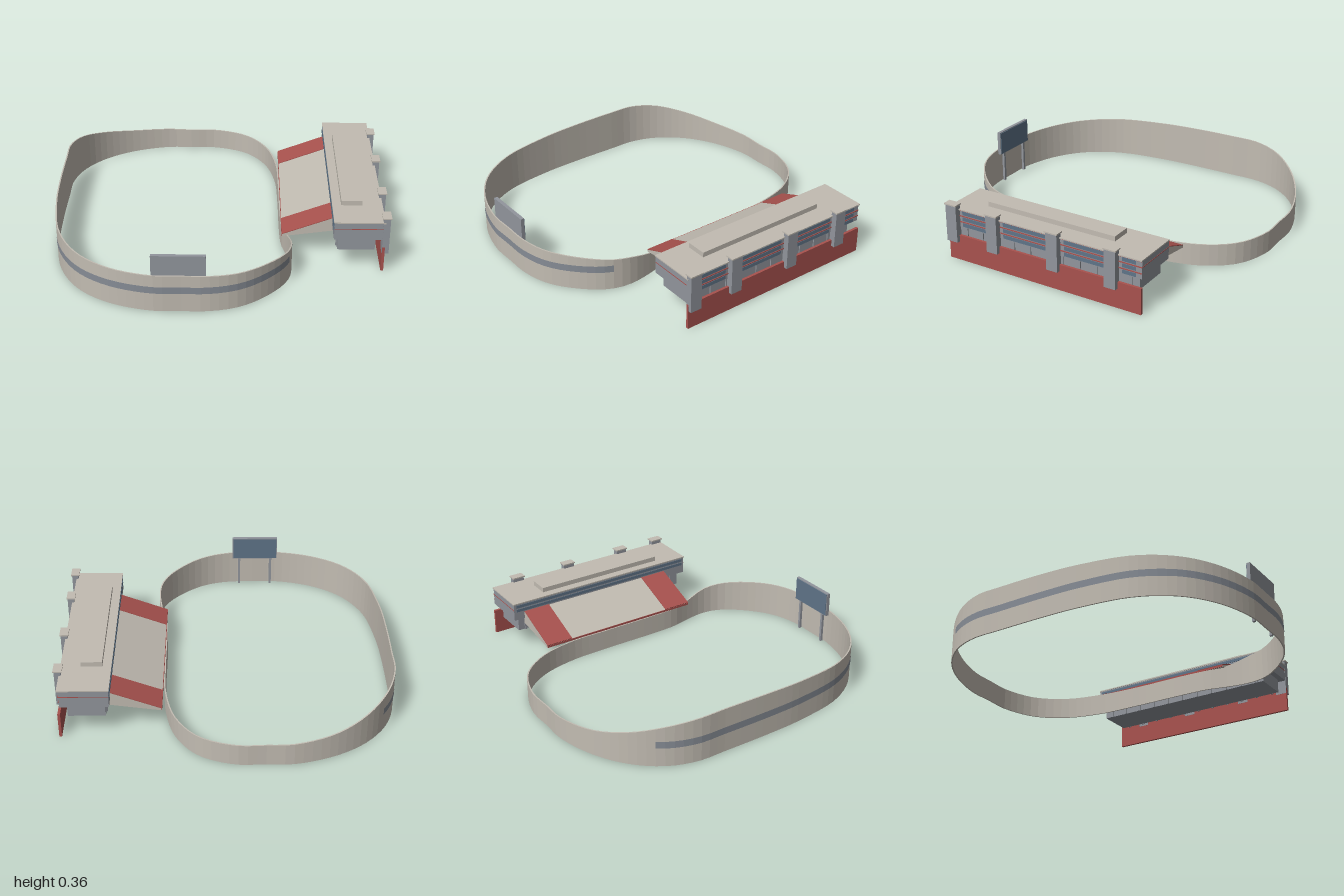
import * as THREE from 'three';

const mat = (name, color, side = THREE.FrontSide) => {
  const m = new THREE.MeshStandardMaterial({ color, side });
  m.name = name;
  return m;
};

export function createModel() {
  const model = new THREE.Group();
  model.name = 'stadium';
  const concrete = mat('concrete', 0xc2bcb2);
  const grey = mat('grey', 0x92969d);
  const stripe = mat('stripe grey', 0x868c95);
  const red = mat('red', 0xa8524e);
  const glass = mat('glass blue', 0x5f7488);

  const add = (name, geometry, material, parent = model) => {
    const mesh = new THREE.Mesh(geometry, material);
    mesh.name = name;
    parent.add(mesh);
    return mesh;
  };
  // Box given by its limits on each axis
  const box = (name, m, [x0, x1], [y0, y1], [z0, z1], parent = model) => {
    const mesh = add(name, new THREE.BoxGeometry(x1 - x0, y1 - y0, z1 - z0), m, parent);
    mesh.position.set((x0 + x1) / 2, (y0 + y1) / 2, (z0 + z1) / 2);
    return mesh;
  };
  // Skin of flat faces over a list of cross-sections
  const loft = (sections) => {
    const pos = [];
    for (let i = 0; i < sections.length - 1; i++) {
      const p = sections[i], q = sections[i + 1];
      for (let k = 0; k < p.length - 1; k++) {
        for (const v of [p[k], q[k], q[k + 1], p[k], q[k + 1], p[k + 1]]) pos.push(...v);
      }
    }
    const g = new THREE.BufferGeometry();
    g.setAttribute('position', new THREE.Float32BufferAttribute(pos, 3));
    g.computeVertexNormals();
    return g;
  };

  // Perimeter wall: plan points as x, top height, z
  const plan = [
    [-0.38, 0.14, -1], [-0.22, 0.135, -1], [-0.05, 0.135, -1], [0.16, 0.135, -0.92],
    [0.295, 0.135, -0.75], [0.36, 0.135, -0.51], [0.372, 0.13, -0.25], [0.374, 0.13, 0.1],
    [0.382, 0.13, 0.28], [0.41, 0.14, 0.4], [0.43, 0.18, 0.55], [0.41, 0.196, 0.66],
    [0.35, 0.208, 0.76], [0.215, 0.22, 0.89], [0.1, 0.225, 0.955], [-0.05, 0.23, 0.99],
    [-0.2, 0.232, 0.992], [-0.37, 0.232, 0.99], [-0.61, 0.235, 0.92], [-0.8, 0.242, 0.785],
    [-0.93, 0.253, 0.57], [-0.988, 0.266, 0.25], [-1, 0.274, 0], [-1, 0.278, -0.3],
    [-0.997, 0.275, -0.48], [-0.94, 0.252, -0.65], [-0.81, 0.205, -0.81], [-0.62, 0.16, -0.93],
  ].map((p) => new THREE.Vector3(...p));
  const curve = new THREE.CatmullRomCurve3(plan, true);
  const N = 110;
  const samples = [];
  for (let i = 0; i <= N; i++) {
    const p = curve.getPointAt(i / N), t = curve.getTangentAt(i / N);
    const l = Math.hypot(t.x, t.z);
    samples.push({ p, nx: t.z / l, nz: -t.x / l });
  }
  const at = ({ p, nx, nz }, offset, y) => [p.x + nx * offset, y, p.z + nz * offset];
  add('perimeterWall', loft(samples.map((s) => [
    at(s, -0.008, 0), at(s, -0.008, s.p.y), at(s, 0, s.p.y), at(s, 0, 0), at(s, -0.008, 0),
  ])), concrete);

  // Band painted on the outside of the wall
  const first = samples.findIndex((s) => s.p.z > 0.62);
  const last = samples.findIndex((s, i) => i > first && s.p.x < 0 && s.p.z < -0.7);
  add('wallBand', loft(samples.slice(first, last + 1).map((s) => [at(s, 0.002, 0.16), at(s, 0.002, 0.117)])), stripe);

  // Display board on two posts
  const board = new THREE.Group();
  board.name = 'displayBoard';
  model.add(board);
  box('boardPanel', grey, [-0.365, -0.06], [0.2, 0.355], [0.959, 0.981], board);
  box('boardScreen', glass, [-0.36, -0.065], [0.205, 0.35], [0.955, 0.959], board);
  for (const x of [-0.32, -0.105]) box('boardPost', grey, [x - 0.008, x + 0.008], [0, 0.2], [0.961, 0.977], board);

  const stand = new THREE.Group();
  stand.name = 'grandstand';
  model.add(stand);

  // Sloping seating deck, a wedge along z
  const deckShape = new THREE.Shape([[0.375, 0.129], [0.68, 0.172], [0.68, 0.26], [0.375, 0.143]]
    .map((p) => new THREE.Vector2(...p)));
  const deck = add('seatingDeck', new THREE.ExtrudeGeometry(deckShape, { depth: 1.06, bevelEnabled: false }), concrete, stand);
  deck.position.z = -0.665;
  const slope = Math.atan2(0.117, 0.305);
  for (const [z0, z1] of [[-0.665, -0.49], [0.215, 0.395]]) {
    const seats = add('redSeating', new THREE.BoxGeometry(0.316, 0.004, z1 - z0), red, stand);
    seats.position.set(0.522, 0.2015, (z0 + z1) / 2);
    seats.rotation.z = slope;
  }
  box('deckLip', red, [0.372, 0.376], [0.13, 0.143], [-0.665, 0.395], stand);

  // Lower storey with ribs, gallery above it, roof
  box('lowerStorey', grey, [0.695, 0.915], [0.12, 0.215], [-0.7, 0.52], stand);
  for (let z = -0.65; z < 0.52; z += 0.112) {
    for (const x of [0.688, 0.915]) box('storeyRib', grey, [x, x + 0.007], [0.118, 0.212], [z - 0.008, z + 0.008], stand);
  }
  box('gallery', grey, [0.67, 0.955], [0.21, 0.319], [-0.737, 0.557], stand);
  box('roof', concrete, [0.667, 0.965], [0.319, 0.326], [-0.74, 0.56], stand);
  box('roofBlock', concrete, [0.72, 0.845], [0.326, 0.356], [-0.5, 0.36], stand);

  // Window rows and red trim
  for (const y of [0.3, 0.263, 0.226]) {
    for (const [z0, z1] of [[0.29, 0.465], [-0.12, 0.175], [-0.5, -0.24], [-0.7, -0.615]]) {
      box('outerWindow', glass, [0.955, 0.958], [y - 0.011, y + 0.011], [z0, z1], stand);
    }
  }
  for (const y of [0.317, 0.281, 0.244]) {
    box('redTrim', red, [0.955, 0.959], [y - 0.003, y + 0.003], [-0.737, 0.557], stand);
  }
  for (const y of [0.302, 0.275]) {
    box('innerWindow', glass, [0.667, 0.67], [y - 0.009, y + 0.009], [-0.72, 0.54], stand);
  }
  for (const z of [-0.739, 0.557]) box('endTrim', red, [0.67, 0.955], [0.279, 0.283], [z, z + 0.002], stand);

  // Towers along the outer face
  for (const z of [0.522, 0.235, -0.178, -0.555]) {
    box('tower', grey, [0.952, 0.992], [0.12, 0.352], [z - 0.037, z + 0.037], stand);
    box('towerCap', concrete, [0.945, 0.998], [0.35, 0.358], [z - 0.042, z + 0.042], stand);
  }

  // Boundary wall at street level
  box('redBoundaryWall', red, [0.953, 0.969], [0, 0.16], [-0.74, 0.56], stand);
  return model;
}
